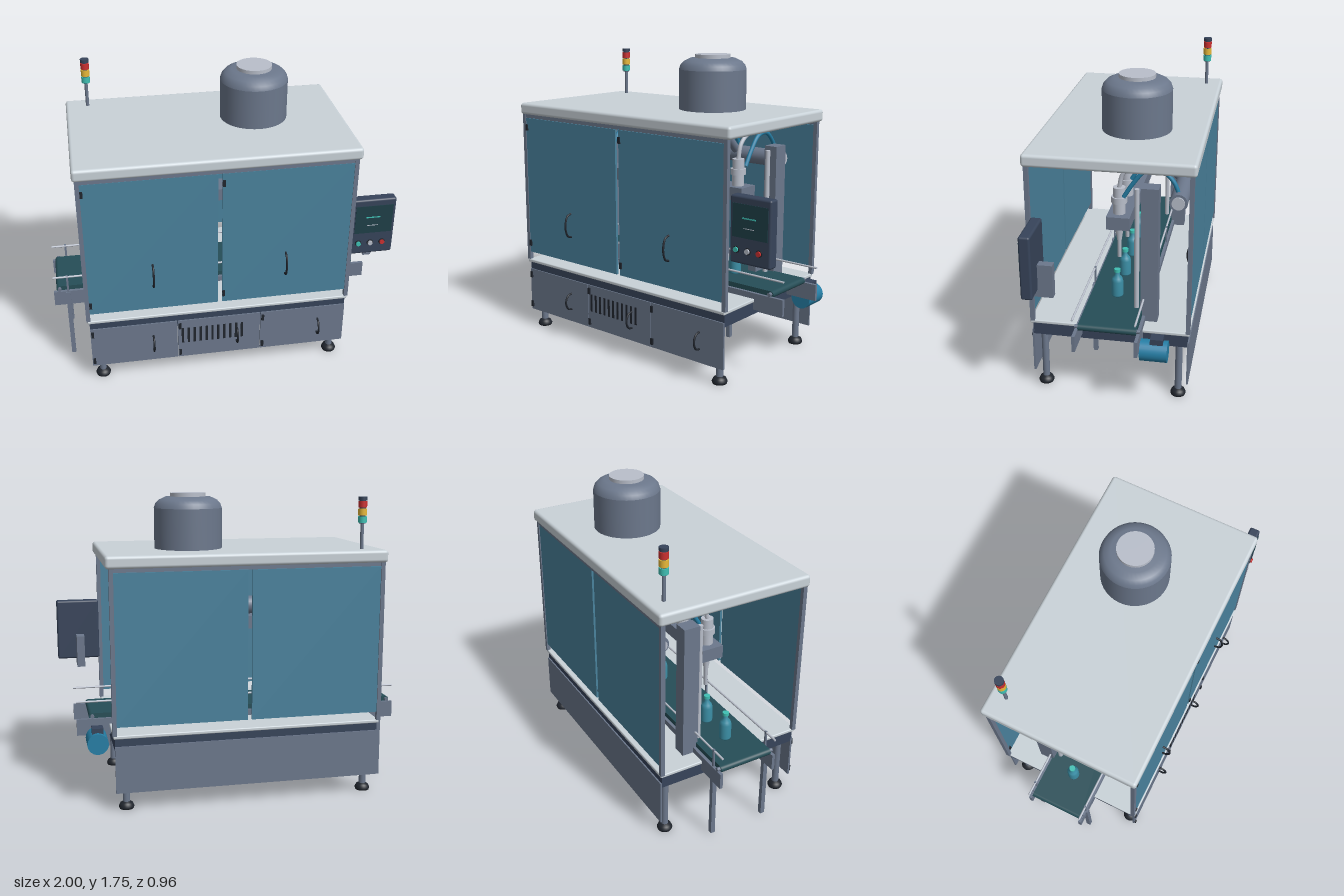
import * as THREE from 'three';
import { RoundedBoxGeometry } from 'three/addons/geometries/RoundedBoxGeometry.js';

const mat = (color) => new THREE.MeshStandardMaterial({ color });
const M = {
  steel: mat(0x6c788c), light: mat(0xc9d2d8), pale: mat(0xb9bfcb), dark: mat(0x37445a), black: mat(0x20252d),
  glass: mat(0x4a829d), belt: mat(0x264e57), blue: mat(0x267fa6), bottle: mat(0x3b8ea5),
  teal: mat(0x3fc0b4), yellow: mat(0xe8b93a), red: mat(0xcc3030), screen: mat(0x1f3f48),
};

export function createModel() {
  const root = new THREE.Group();

  const add = (name, geo, material, x = 0, y = 0, z = 0, parent = root) => {
    const m = new THREE.Mesh(geo, material);
    m.name = name;
    m.position.set(x, y, z);
    parent.add(m);
    return m;
  };
  // Box from min/max extents
  const box = (name, material, x0, x1, y0, y1, z0, z1, parent) =>
    add(name, new THREE.BoxGeometry(x1 - x0, y1 - y0, z1 - z0), material,
      (x0 + x1) / 2, (y0 + y1) / 2, (z0 + z1) / 2, parent);
  const rounded = (name, material, x0, x1, y0, y1, z0, z1, r) =>
    add(name, new RoundedBoxGeometry(x1 - x0, y1 - y0, z1 - z0, 3, r), material,
      (x0 + x1) / 2, (y0 + y1) / 2, (z0 + z1) / 2);
  // Cylinder standing between two heights
  const post = (name, material, r0, r1, y0, y1, x, z, parent) =>
    add(name, new THREE.CylinderGeometry(r1, r0, y1 - y0, 28), material, x, (y0 + y1) / 2, z, parent);
  const rodX = (name, material, r, x0, x1, y, z) => {
    const m = add(name, new THREE.CylinderGeometry(r, r, x1 - x0, 24), material, (x0 + x1) / 2, y, z);
    m.rotation.z = Math.PI / 2;
    return m;
  };
  const rodZ = (name, material, r, x, y, z0, z1, parent) => {
    const m = add(name, new THREE.CylinderGeometry(r, r, z1 - z0, 28), material, x, y, (z0 + z1) / 2, parent);
    m.rotation.x = Math.PI / 2;
    return m;
  };
  const tube = (name, material, r, pts) =>
    add(name, new THREE.TubeGeometry(new THREE.CatmullRomCurve3(pts.map((p) => new THREE.Vector3(...p))), 32, r, 12), material);
  const lathe = (name, material, pts, x, z, parent) =>
    add(name, new THREE.LatheGeometry(pts.map((p) => new THREE.Vector2(...p)), 40), material, x, 0, z, parent);
  // Bowed pull handle
  const handle = (x, y, z, h) => tube('pullHandle', M.black, 0.006,
    [[x, y - h / 2, z], [x, y - h * 0.42, z + 0.03], [x, y, z + 0.048], [x, y + h * 0.42, z + 0.03], [x, y + h / 2, z]]);
  const hinge = (x, y, z) => box('hinge', M.black, x - 0.008, x + 0.008, y - 0.019, y + 0.019, z - 0.004, z + 0.012);

  // Roof
  rounded('roof', M.light, -0.835, 0.76, 1.365, 1.435, -0.48, 0.44, 0.018);

  // Supply tank with creased shoulders
  const tank = new THREE.Group();
  tank.name = 'supplyTank';
  root.add(tank);
  lathe('tankWall', M.steel, [[0.195, 1.43], [0.195, 1.665]], 0.245, -0.09, tank);
  lathe('tankShoulder', M.steel, [[0.195, 1.665], [0.187, 1.69], [0.168, 1.71], [0.13, 1.728], [0, 1.733]], 0.245, -0.09, tank);
  post('tankLid', M.pale, 0.102, 0.102, 1.725, 1.75, 0.245, -0.09, tank);

  // Signal lamp
  const lamp = new THREE.Group();
  lamp.name = 'signalLamp';
  root.add(lamp);
  post('lampPole', M.steel, 0.01, 0.01, 1.43, 1.59, -0.705, -0.385, lamp);
  [[M.teal, 1.585, 1.62], [M.yellow, 1.626, 1.664], [M.red, 1.67, 1.706], [M.dark, 1.71, 1.73]].forEach(([m, a, b]) =>
    post('lampSegment', m, 0.025, 0.025, a, b, -0.705, -0.385, lamp));
  post('lampCore', M.dark, 0.018, 0.018, 1.58, 1.72, -0.705, -0.385, lamp);

  // Cabinet posts and door walls, front and back alike
  for (const z of [0.418, -0.454]) {
    for (const x of [-0.81, 0.728]) box('cornerPost', M.steel, x - 0.012, x + 0.012, 0.44, 1.37, z - 0.012, z + 0.012);
    box('topRail', M.steel, -0.81, 0.728, 1.345, 1.37, z - 0.01, z + 0.01);
    for (const [x0, x1, hx] of [[-0.798, -0.05, -0.425], [-0.025, 0.72, 0.345]]) {
      box('cabinetDoor', M.glass, x0, x1, 0.49, 1.343, z - 0.006, z + 0.008);
      handle(hx, 0.722, z + 0.006, 0.145);
      for (const y of [1.285, 0.55]) hinge(x0 + 0.008, y, z + 0.004);
    }
  }

  // Worktop and base frame
  rounded('worktop', M.light, -0.815, 0.735, 0.422, 0.442, -0.462, 0.432, 0.006);
  box('baseSlab', M.dark, -0.805, 0.727, 0.35, 0.424, -0.452, 0.418);
  box('backSkirt', M.steel, -0.805, 0.727, 0.108, 0.378, -0.46, -0.45);

  // Lower doors with vent slots in the middle one
  for (const [x0, x1, hx] of [[-0.805, -0.294, -0.437], [-0.29, 0.206, 0.065], [0.21, 0.727, 0.563]]) {
    box('lowerDoor', M.steel, x0, x1, 0.108, 0.376, 0.413, 0.425);
    handle(hx, 0.237, 0.424, 0.1);
    for (const y of [0.34, 0.145]) hinge(x0 + 0.012, y, 0.422);
  }
  for (let i = 0; i < 11; i++) {
    const x = -0.262 + i * 0.0358;
    box('ventSlot', M.black, x - 0.007, x + 0.007, 0.213, 0.32, 0.42, 0.428);
  }

  // Cabinet legs on round feet
  for (const x of [-0.745, 0.665]) for (const z of [0.37, -0.4]) {
    post('cabinetLeg', M.steel, 0.02, 0.02, 0.03, 0.36, x, z);
    lathe('levelingFoot', M.black, [[0, 0], [0.04, 0], [0.044, 0.012], [0.036, 0.03], [0.018, 0.042], [0, 0.042]], x, z);
  }

  // Conveyor
  for (const z of [0.145, -0.195]) {
    box('conveyorRail', M.steel, -1, 0.92, 0.38, 0.475, z - 0.009, z + 0.009);
    rodX('guideRod', M.pale, 0.006, -1, 0.92, 0.575, z + 0.003);
    for (const x of [-0.915, -0.3, 0.315]) {
      box('conveyorLeg', M.steel, x - 0.013, x + 0.013, 0.012, 0.47, z - 0.009, z + 0.017);
      box('guidePost', M.steel, x - 0.006, x + 0.006, 0.47, 0.585, z - 0.004, z + 0.006);
    }
  }
  box('conveyorBelt', M.belt, -0.965, 0.83, 0.465, 0.503, -0.186, 0.136);
  for (const x of [-0.965, 0.83]) {
    rodZ('beltTurn', M.belt, 0.019, x, 0.484, -0.186, 0.136);
    rodZ('rollerShaft', M.steel, 0.011, x, 0.487, -0.205, 0.155);
  }

  // Drive motor
  rodZ('driveMotor', M.blue, 0.06, 0.812, 0.367, -0.355, -0.205);
  box('motorTerminalBox', M.dark, 0.778, 0.842, 0.415, 0.452, -0.33, -0.26);

  // Column frame, beam and manifold
  for (const x of [-0.68, 0.6]) {
    box('column', M.steel, x - 0.04, x + 0.04, 0.44, 1.24, -0.27, -0.175);
    post('liftRod', M.pale, 0.014, 0.014, 0.44, 1.22, x, -0.148);
  }
  box('headBeam', M.steel, -0.63, 0.55, 0.945, 1.02, -0.098, 0.032);
  rodX('manifold', M.steel, 0.05, -0.64, 0.56, 1.135, -0.365);
  for (const [a, b] of [[-0.65, -0.64], [0.56, 0.57]]) rodX('manifoldCap', M.pale, 0.036, a, b, 1.135, -0.365);
  tube('feedPipe', M.steel, 0.026, [[0.245, 1.4, -0.06], [0.245, 1.34, -0.12], [0.245, 1.25, -0.24], [0.245, 1.14, -0.36]]);

  // Filling heads with hoses, and bottles below
  const bottle = [[0, 0.503], [0.033, 0.503], [0.034, 0.51], [0.034, 0.595], [0.028, 0.615], [0.014, 0.632], [0.014, 0.655]];
  const addBottle = (x) => {
    lathe('bottle', M.bottle, bottle, x, -0.017);
    post('bottleCap', M.teal, 0.018, 0.018, 0.652, 0.67, x, -0.017);
  };
  addBottle(-0.755);
  for (let i = -2; i <= 2; i++) {
    const x = -0.04 + i * 0.26;
    post('headBody', M.pale, 0.034, 0.034, 1.015, 1.175, x, -0.03);
    post('headCollar', M.pale, 0.044, 0.044, 1.085, 1.12, x, -0.03);
    lathe('nozzle', M.pale, [[0, 0.75], [0.011, 0.75], [0.012, 0.85], [0.027, 0.945]], x, -0.03);
    tube('productHose', M.pale, 0.012, [[x, 1.17, -0.03], [x, 1.25, -0.05], [x, 1.3, -0.11], [x, 1.31, -0.2], [x, 1.34, -0.3], [x, 1.355, -0.37]]);
    tube('airHose', M.blue, 0.012, [[x + 0.03, 1.13, -0.06], [x + 0.03, 1.21, -0.11], [x + 0.03, 1.29, -0.18], [x + 0.03, 1.3, -0.26], [x + 0.03, 1.24, -0.33], [x + 0.03, 1.16, -0.365]]);
    addBottle(x);
  }

  // Operator panel with screen and buttons
  rounded('operatorPanel', M.dark, 0.74, 0.995, 0.717, 1.08, 0.337, 0.4, 0.012);
  box('panelScreen', M.screen, 0.757, 0.978, 0.86, 1.04, 0.395, 0.403);
  box('screenBar', M.teal, 0.82, 0.905, 0.962, 0.969, 0.4, 0.405);
  box('screenLine', M.pale, 0.83, 0.895, 0.91, 0.914, 0.4, 0.405);
  [[0.785, M.teal], [0.857, M.pale], [0.928, M.red]].forEach(([x, m]) => {
    rodZ('buttonRing', M.black, 0.019, x, 0.793, 0.395, 0.405);
    rodZ('button', m, 0.014, x, 0.793, 0.395, 0.414);
  });
  box('panelBracket', M.steel, 0.835, 0.882, 0.68, 0.87, 0.255, 0.363);

  return root;
}
